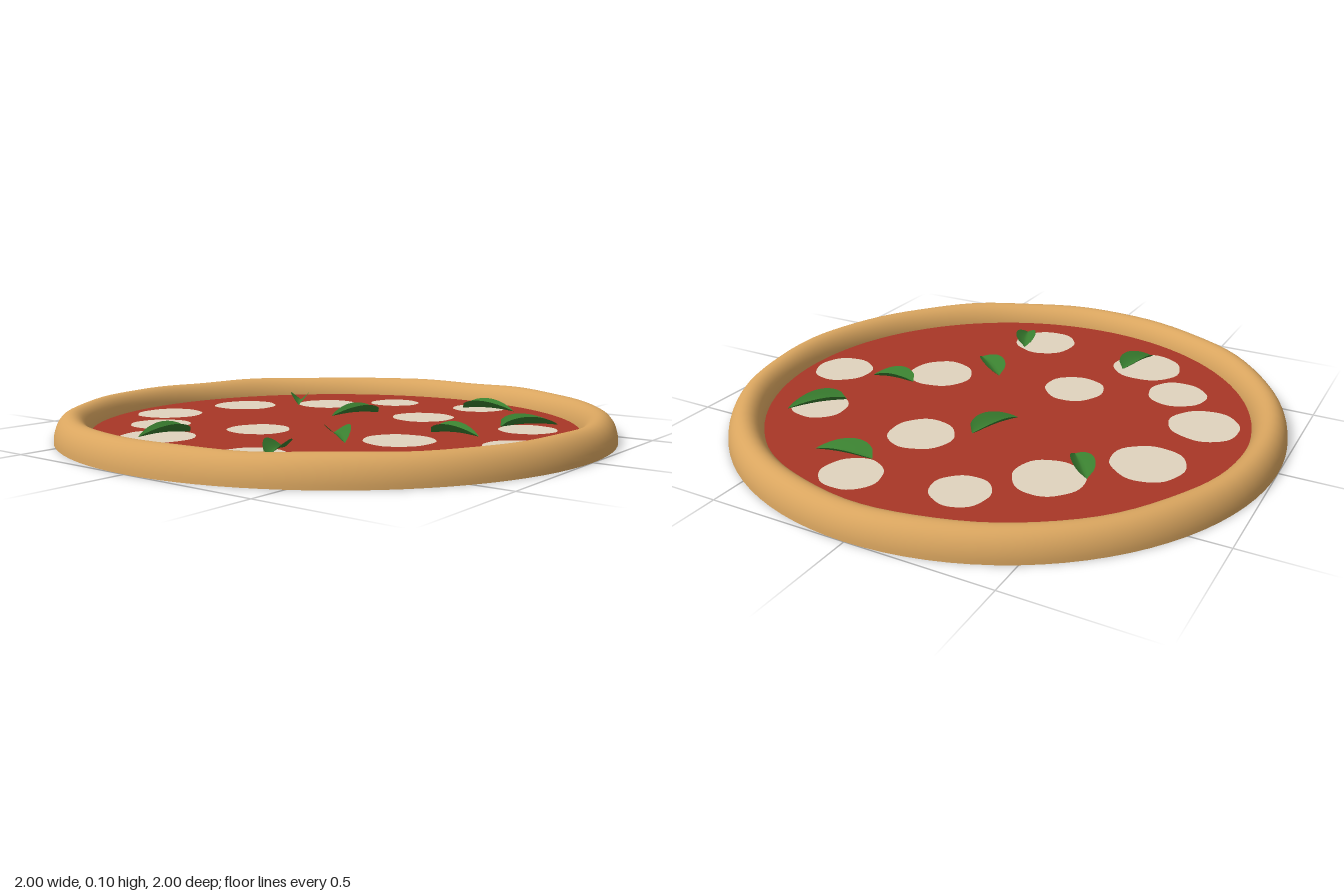
import * as THREE from 'three';

const material = (name, color) => {
  const m = new THREE.MeshStandardMaterial({ color, side: THREE.DoubleSide });
  m.name = name;
  return m;
};

const SAUCE_Y = 0.022;

// x, z, radius of each cheese slice
const SLICES = [
  [0.2, -0.69, 0.105], [-0.165, -0.62, 0.1], [-0.37, -0.415, 0.12], [0.155, -0.345, 0.117],
  [0.61, -0.325, 0.104], [-0.615, -0.175, 0.126], [0.74, -0.005, 0.112], [0.375, 0.14, 0.123],
  [-0.69, 0.18, 0.125], [-0.15, 0.255, 0.112], [-0.515, 0.39, 0.109], [-0.32, 0.585, 0.132],
  [0.16, 0.635, 0.123],
];

// base x, base z, tip x, tip z, half width of each leaf
const LEAVES = [
  [0.185, -0.595, 0.395, -0.625, 0.066], [0.54, -0.255, 0.68, -0.425, 0.062],
  [-0.49, -0.385, -0.385, -0.245, 0.055], [-0.01, -0.28, -0.09, -0.09, 0.06],
  [0.41, -0.005, 0.585, -0.025, 0.058], [0.15, 0.205, 0.305, 0.345, 0.062],
  [-0.25, 0.495, -0.305, 0.68, 0.062], [0.2, 0.52, 0.27, 0.685, 0.058],
];

// Slightly uneven outline of a cheese slice, reused for the hole in the sauce
function slicePoints([x, z, r], seed) {
  return Array.from({ length: 40 }, (_, i) => {
    const a = (i / 40) * Math.PI * 2;
    const q = r * (1 + 0.02 * Math.sin(3 * a + seed) + 0.012 * Math.sin(7 * a + 2 * seed));
    return new THREE.Vector2(x + q * Math.cos(a), -z + q * Math.sin(a));
  });
}

// Hollow half-round rim whose top rises and falls a little
function crustGeometry() {
  const profile = Array.from({ length: 21 }, (_, i) => {
    const a = (i / 20) * Math.PI;
    return new THREE.Vector2(0.937 + 0.063 * Math.cos(a), 0.092 * Math.sin(a));
  });
  const geo = new THREE.LatheGeometry(profile, 96);
  const p = geo.attributes.position;
  for (let i = 0; i < p.count; i++) {
    const a = Math.atan2(p.getZ(i), p.getX(i));
    p.setY(i, p.getY(i) * (1 + 0.02 * Math.sin(9 * a) + 0.015 * Math.sin(14 * a + 1)));
  }
  return geo;
}

// Cupped leaf along +x: blunt at the base, pointed at the tip, edges curling up
function leafGeometry(length, halfWidth) {
  const geo = new THREE.PlaneGeometry(1, 2, 16, 8).rotateX(-Math.PI / 2);
  const p = geo.attributes.position;
  for (let i = 0; i < p.count; i++) {
    const t = p.getX(i) + 0.5;
    const v = p.getZ(i);
    const w = 1.62 * Math.pow(t, 0.45) * Math.pow(1 - t, 0.85);
    const y = 0.012 + 0.045 * w * Math.pow(Math.abs(v), 1.4) + 0.008 * Math.sin(Math.PI * t);
    p.setXYZ(i, t * length, y, v * w * halfWidth);
  }
  geo.computeVertexNormals();
  return geo;
}

export function createModel() {
  const group = new THREE.Group();
  const crustMat = material('baked crust', 0xd9a55f);
  const sauceMat = material('tomato sauce', 0xa83726);
  const cheeseMat = material('cheese', 0xe0d3be);
  const leafMat = material('basil green', 0x3a8030);
  const add = (name, geo, mat) => {
    const mesh = new THREE.Mesh(geo, mat);
    mesh.name = name;
    group.add(mesh);
    return mesh;
  };

  add('crust', crustGeometry(), crustMat);

  // Sauce disc with cheese slices set into it
  const disc = new THREE.Shape().absarc(0, 0, 0.897, 0, Math.PI * 2);
  SLICES.forEach((slice, i) => {
    const points = slicePoints(slice, i * 1.7);
    disc.holes.push(new THREE.Path(points));
    const geo = new THREE.ShapeGeometry(new THREE.Shape(points)).rotateX(-Math.PI / 2);
    add('cheeseSlice', geo, cheeseMat).position.y = SAUCE_Y;
  });
  add('sauce', new THREE.ShapeGeometry(disc, 96).rotateX(-Math.PI / 2), sauceMat).position.y = SAUCE_Y;

  // Basil leaves
  for (const [bx, bz, tx, tz, halfWidth] of LEAVES) {
    const leaf = add('basilLeaf', leafGeometry(Math.hypot(tx - bx, tz - bz), halfWidth), leafMat);
    leaf.position.set(bx, SAUCE_Y, bz);
    leaf.rotation.y = -Math.atan2(tz - bz, tx - bx);
  }
  return group;
}
